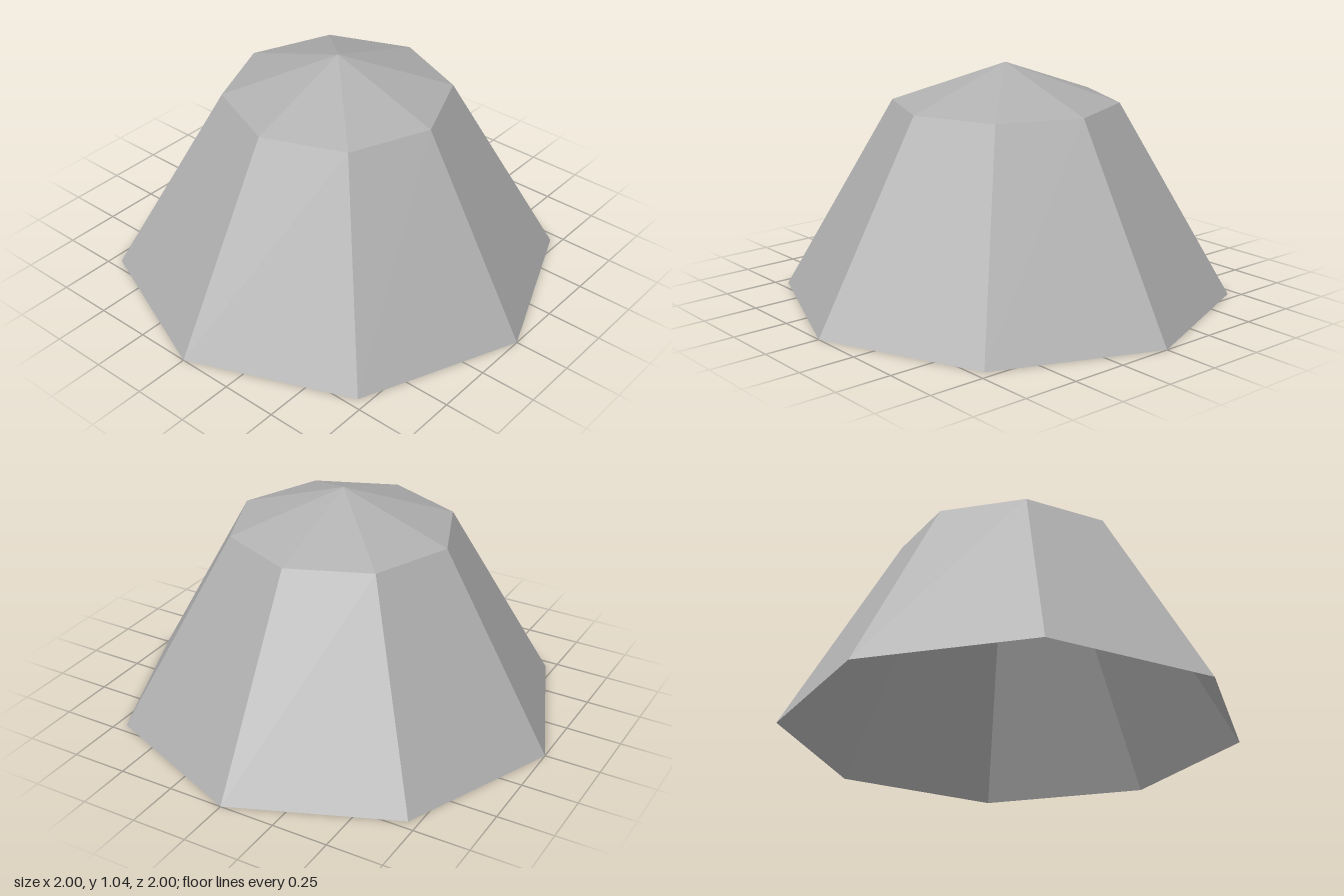
import * as THREE from 'three';

const SIDES = 8;
const WALL_HEIGHT = 0.866;
const CAP_HEIGHT = 0.173;

export function createModel() {
  const group = new THREE.Group();
  group.name = 'octagonalTent';

  const grey = new THREE.MeshStandardMaterial({ color: 0xb0b0b0, flatShading: true, side: THREE.DoubleSide });
  grey.name = 'grey';

  // Open ring of eight sloping wall panels
  const walls = new THREE.Mesh(new THREE.CylinderGeometry(0.5, 1, WALL_HEIGHT, SIDES, 1, true), grey);
  walls.name = 'walls';
  walls.position.y = WALL_HEIGHT / 2;

  // Shallow pointed roof, open below
  const roof = new THREE.Mesh(new THREE.ConeGeometry(0.5, CAP_HEIGHT, SIDES, 1, true), grey);
  roof.name = 'roof';
  roof.position.y = WALL_HEIGHT + CAP_HEIGHT / 2;

  group.add(walls, roof);
  return group;
}
